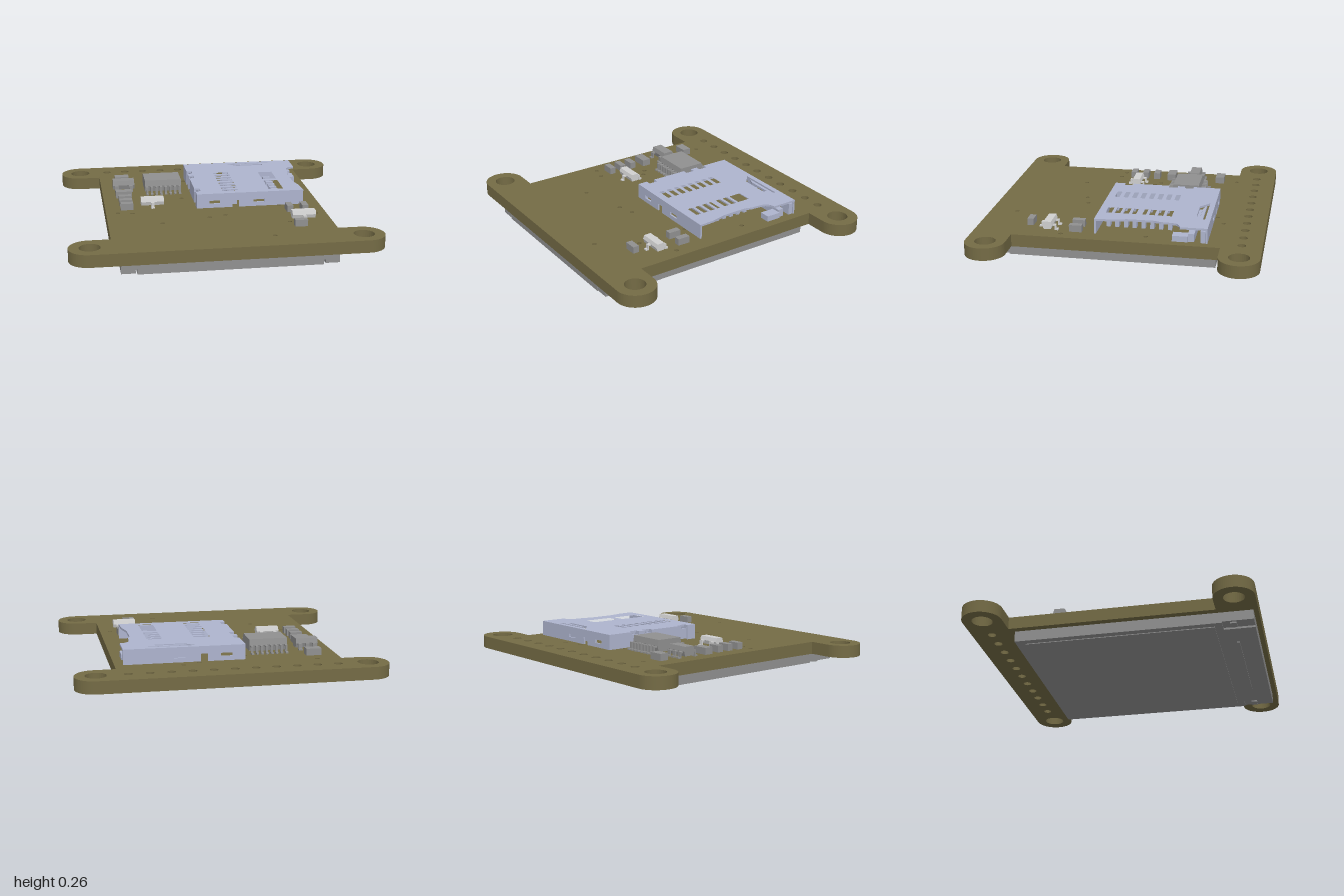
import * as THREE from 'three';

const mat = (name, color) => new THREE.MeshStandardMaterial({ name, color });

export function createModel() {
  const olive = mat('olive board', 0x746b45);
  const grey = mat('component grey', 0x909090);
  const pale = mat('pale package', 0xd0d0d0);
  const metal = mat('bluish metal', 0xaeb4ce);
  const model = new THREE.Group();
  const TOP = 0.162;

  const group = (name, parent = model) => {
    const g = new THREE.Group();
    g.name = name;
    parent.add(g);
    return g;
  };
  const add = (parent, name, geo, m) => {
    const mesh = new THREE.Mesh(geo, m);
    mesh.name = name;
    parent.add(mesh);
    return mesh;
  };
  // box given by its limits on each axis
  const box = (parent, name, m, x0, x1, y0, y1, z0, z1) =>
    add(parent, name, new THREE.BoxGeometry(x1 - x0, y1 - y0, z1 - z0), m)
      .position.set((x0 + x1) / 2, (y0 + y1) / 2, (z0 + z1) / 2);
  const hole = (shape, x, z, r) => shape.holes.push(new THREE.Path().absarc(x, -z, r, 0, Math.PI * 2, true));
  const rectPath = (x0, x1, y0, y1) => new THREE.Path([[x0, y0], [x0, y1], [x1, y1], [x1, y0]]
    .map(p => new THREE.Vector2(...p)));
  // plan shape (x, -z) raised between two heights
  const slab = (shape, y0, y1, curveSegments = 12) =>
    new THREE.ExtrudeGeometry(shape, { depth: y1 - y0, bevelEnabled: false, curveSegments })
      .rotateX(-Math.PI / 2).translate(0, y0, 0);

  // circuit board with four rounded ears
  const b = new THREE.Shape();
  const W = 0.73, E = 0.87, R = 0.13, Z = 0.8;
  b.moveTo(-E, -Z - R).lineTo(E, -Z - R);
  b.absarc(E, -Z, R, -Math.PI / 2, Math.PI / 2, false);
  b.lineTo(W, -Z + R).lineTo(W, Z - R).lineTo(E, Z - R);
  b.absarc(E, Z, R, -Math.PI / 2, Math.PI / 2, false);
  b.lineTo(-E, Z + R);
  b.absarc(-E, Z, R, Math.PI / 2, Math.PI * 1.5, false);
  b.lineTo(-W, Z - R).lineTo(-W, -Z + R).lineTo(-E, -Z + R);
  b.absarc(-E, -Z, R, Math.PI / 2, Math.PI * 1.5, false);
  for (const x of [-0.866, 0.866]) for (const z of [-Z, Z]) hole(b, x, z, 0.067);
  for (let i = -5; i <= 5; i++) hole(b, i * 0.1333, -Z, 0.027);
  const vias = [[-0.13, -0.49], [0.19, -0.6], [-0.46, -0.12], [-0.41, -0.08], [-0.19, -0.09], [-0.65, 0.17],
    [-0.555, 0.19], [-0.375, 0.415], [-0.055, 0.34], [0.055, 0.31], [0.66, 0.36], [0.45, 0.505], [0.3, 0.75],
    [0.62, -0.185], [0.45, 0.155], [-0.57, -0.66], [0.3, -0.65]];
  for (const [x, z] of vias) hole(b, x, z, 0.014);
  add(model, 'circuitBoard', slab(b, 0.08, TOP, 16), olive);

  // display under the board
  const display = group('display');
  box(display, 'displayBody', grey, -0.685, 0.685, 0.008, 0.08, -0.64, 0.7);
  box(display, 'displayLedge', grey, -0.685, 0.685, 0.04, 0.08, 0.7, 0.9);
  box(display, 'displayFront', grey, -0.585, 0.585, 0.008, 0.04, 0.7, 0.9);
  box(display, 'displayGlass', grey, -0.64, 0.64, 0.003, 0.008, -0.58, 0.65);
  box(display, 'displayRib', grey, -0.4, 0.4, 0, 0.008, 0.76, 0.78);
  for (const s of [-1, 1]) {
    const x = s * 0.64;
    box(display, 'displayTab', grey, x - 0.045, x + 0.045, 0.016, 0.04, 0.7, 0.9);
    box(display, 'displayTabFoot', grey, x - 0.03, x + 0.03, 0.006, 0.016, 0.75, 0.79);
  }

  // memory card socket: pierced top sheet
  const socket = group('cardSocket');
  const H = 0.262;
  const s = new THREE.Shape();
  s.moveTo(-0.115, 0.585).lineTo(0.675, 0.585).lineTo(0.675, 0.41);
  s.quadraticCurveTo(0.62, 0.4, 0.61, 0.35).lineTo(0.605, 0.28).lineTo(0.59, 0.23).lineTo(0.592, 0.06)
    .lineTo(0.615, -0.04).lineTo(0.62, -0.15).lineTo(-0.115, -0.15);
  for (const z of [-0.37, -0.26, 0.06]) s.lineTo(-0.115, -z - 0.03).lineTo(-0.075, -z - 0.03)
    .lineTo(-0.075, -z + 0.03).lineTo(-0.115, -z + 0.03);
  // notches run from the front to the back edge
  s.curves.length = 0;
  const edge = [[-0.115, 0.585], [0.675, 0.585], [0.675, 0.41], [0.64, 0.4], [0.617, 0.38], [0.61, 0.35],
    [0.605, 0.28], [0.59, 0.23], [0.592, 0.06], [0.615, -0.04], [0.62, -0.15], [-0.115, -0.15]];
  for (const z of [0.05, -0.26, -0.37]) edge.push([-0.115, -z - 0.03], [-0.08, -z - 0.03], [-0.08, -z + 0.03], [-0.115, -z + 0.03]);
  s.setFromPoints(edge.map(p => new THREE.Vector2(...p)));
  const rows = Array.from({ length: 8 }, (_, i) => -0.32 + i * 0.0577);
  for (const z of rows) s.holes.push(rectPath(0.07, 0.178, -z - 0.016, -z + 0.016));
  s.holes.push(rectPath(0.39, 0.49, 0.14, 0.34), rectPath(0.39, 0.49, -0.1, 0.1));
  s.holes.push(new THREE.Path([[0.2, 0.55], [0.27, 0.49], [0.46, 0.49], [0.46, 0.515], [0.3, 0.515], [0.25, 0.535],
    [0.51, 0.535], [0.51, 0.55]].map(p => new THREE.Vector2(...p))));
  add(socket, 'socketTop', slab(s, H - 0.014, H), metal);

  // front and back walls with latch windows
  for (const [name, z, x1] of [['socketFrontWall', 0.138, 0.62], ['socketBackWall', -0.585, 0.675]]) {
    const w = new THREE.Shape([[-0.115, TOP], [0.13, TOP], [0.13, 0.212], [0.175, 0.212], [0.175, TOP], [x1, TOP],
      [x1, H - 0.014], [-0.115, H - 0.014]].map(p => new THREE.Vector2(...p)));
    w.holes.push(rectPath(-0.03, 0.045, 0.19, 0.212), rectPath(0.275, 0.35, 0.19, 0.212));
    add(socket, name, new THREE.ExtrudeGeometry(w, { depth: 0.012, bevelEnabled: false }).translate(0, 0, z), metal);
  }
  // left wall between the notches, with low walls behind them
  for (const [z0, z1] of [[-0.573, -0.4], [-0.34, -0.29], [-0.23, 0.02], [0.08, 0.138]])
    box(socket, 'socketSideWall', metal, -0.115, -0.103, TOP, H - 0.014, z0, z1);
  box(socket, 'socketInnerWall', metal, -0.08, -0.07, TOP, 0.235, -0.57, 0.135);
  // spring contacts, solder tails and card slider
  for (const z of rows) {
    box(socket, 'springContact', metal, 0.12, 0.17, TOP, 0.235, z - 0.01, z + 0.01);
    box(socket, 'contactStrip', metal, 0.17, 0.43, 0.19, 0.2, z - 0.01, z + 0.01);
    box(socket, 'solderTail', metal, 0.43, 0.48, TOP, 0.22, z - 0.013, z + 0.013);
  }
  box(socket, 'cardSlider', metal, 0.2, 0.66, TOP, 0.215, -0.5, -0.46);
  box(socket, 'sideRail', metal, 0.6, 0.67, TOP, 0.24, -0.57, -0.54);
  box(socket, 'endStop', metal, 0.6, 0.672, TOP, 0.2, -0.46, -0.36);

  // bent lead pointing to z side dir, starting at the body edge
  const lead = (parent, m, x, z, dir, len, w, y) => {
    const span = (a, c) => [Math.min(z + dir * a, z + dir * c), Math.max(z + dir * a, z + dir * c)];
    box(parent, 'leadShoulder', m, x - w / 2, x + w / 2, y - 0.01, y, ...span(-0.01, len * 0.5));
    box(parent, 'leadLeg', m, x - w / 2, x + w / 2, TOP, y, ...span(len * 0.35, len * 0.6));
    box(parent, 'leadFoot', m, x - w / 2, x + w / 2, TOP, TOP + 0.01, ...span(len * 0.5, len));
  };
  // chip body, widest at its waist, tapering up and down
  const chip = (name, m, x0, x1, z0, z1, y1, len, w, backX, frontX) => {
    const g = group(name);
    const y0 = TOP + 0.012, h = y1 - y0, d = z1 - z0, t = 0.008;
    const p = new THREE.Shape([[t, 0], [d - t, 0], [d, h * 0.5], [d - t, h], [t, h], [0, h * 0.5]]
      .map(q => new THREE.Vector2(...q)));
    const geo = new THREE.ExtrudeGeometry(p, { depth: x1 - x0, bevelEnabled: false });
    add(g, name + 'Body', geo.rotateY(-Math.PI / 2).translate(x1, y0, z0), m);
    for (const x of backX) lead(g, m, x, z0, -1, len, w, y0 + h * 0.5);
    for (const x of frontX) lead(g, m, x, z1, 1, len, w, y0 + h * 0.5);
  };
  const eight = Array.from({ length: 8 }, (_, i) => -0.417 + i * 0.0328);
  chip('logicChip', grey, -0.43, -0.175, -0.435, -0.24, 0.253, 0.052, 0.016, eight, eight);
  chip('regulator', grey, -0.65, -0.5, -0.4, -0.315, 0.235, 0.035, 0.026, [-0.625, -0.575, -0.525], [-0.625, -0.525]);
  chip('leftTransistor', pale, -0.485, -0.33, 0.01, 0.075, 0.224, 0.035, 0.022, [-0.455, -0.36], [-0.408]);
  chip('rightTransistor', pale, 0.472, 0.627, 0.425, 0.49, 0.224, 0.035, 0.022, [0.503, 0.597], [0.55]);

  // small resistors and capacitors: centre x, z, width, depth
  const passives = [[-0.575, -0.54, 0.1, 0.06], [-0.585, -0.185, 0.11, 0.06], [-0.585, -0.075, 0.085, 0.042],
    [-0.585, 0.01, 0.085, 0.042], [-0.585, 0.095, 0.085, 0.042], [0.495, 0.275, 0.042, 0.083],
    [0.597, 0.275, 0.042, 0.083], [0.505, 0.59, 0.083, 0.042]];
  for (const [x, z, w, d] of passives)
    box(model, 'passive', grey, x - w / 2, x + w / 2, TOP, 0.207, z - d / 2, z + d / 2);

  return model;
}
